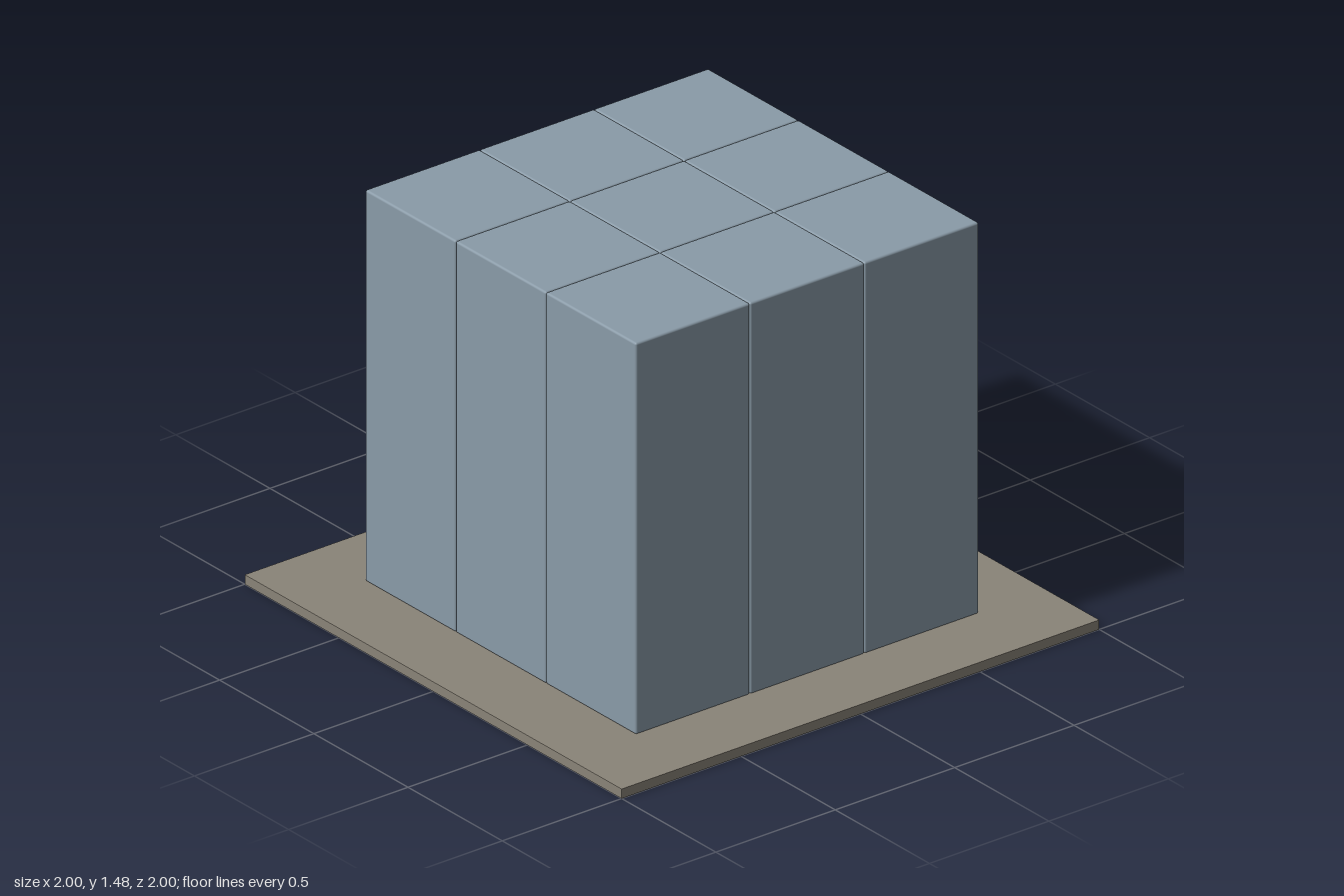
import * as THREE from 'three';
import { RoundedBoxGeometry } from 'three/addons/geometries/RoundedBoxGeometry.js';

export function createModel() {
  const group = new THREE.Group();
  const stone = new THREE.MeshStandardMaterial({ name: 'warm grey', color: 0x8a8478 });
  const steel = new THREE.MeshStandardMaterial({ name: 'blue grey', color: 0x8a9ba8 });

  // Thin square base slab
  const baseHeight = 0.035;
  const base = new THREE.Mesh(new THREE.BoxGeometry(2, baseHeight, 2), stone);
  base.name = 'baseSlab';
  base.position.y = baseHeight / 2;
  group.add(base);

  // Three by three cluster of tall blocks with softened edges
  const pitch = 0.479, height = 1.44;
  const blockGeometry = new RoundedBoxGeometry(pitch, height, pitch, 2, 0.008);
  const blocks = new THREE.Group();
  blocks.name = 'blocks';
  for (let row = -1; row <= 1; row++) {
    for (let column = -1; column <= 1; column++) {
      const block = new THREE.Mesh(blockGeometry, steel);
      block.name = `blockRow${row + 2}Column${column + 2}`;
      block.position.set(column * pitch, baseHeight + height / 2, row * pitch);
      blocks.add(block);
    }
  }
  group.add(blocks);
  return group;
}
